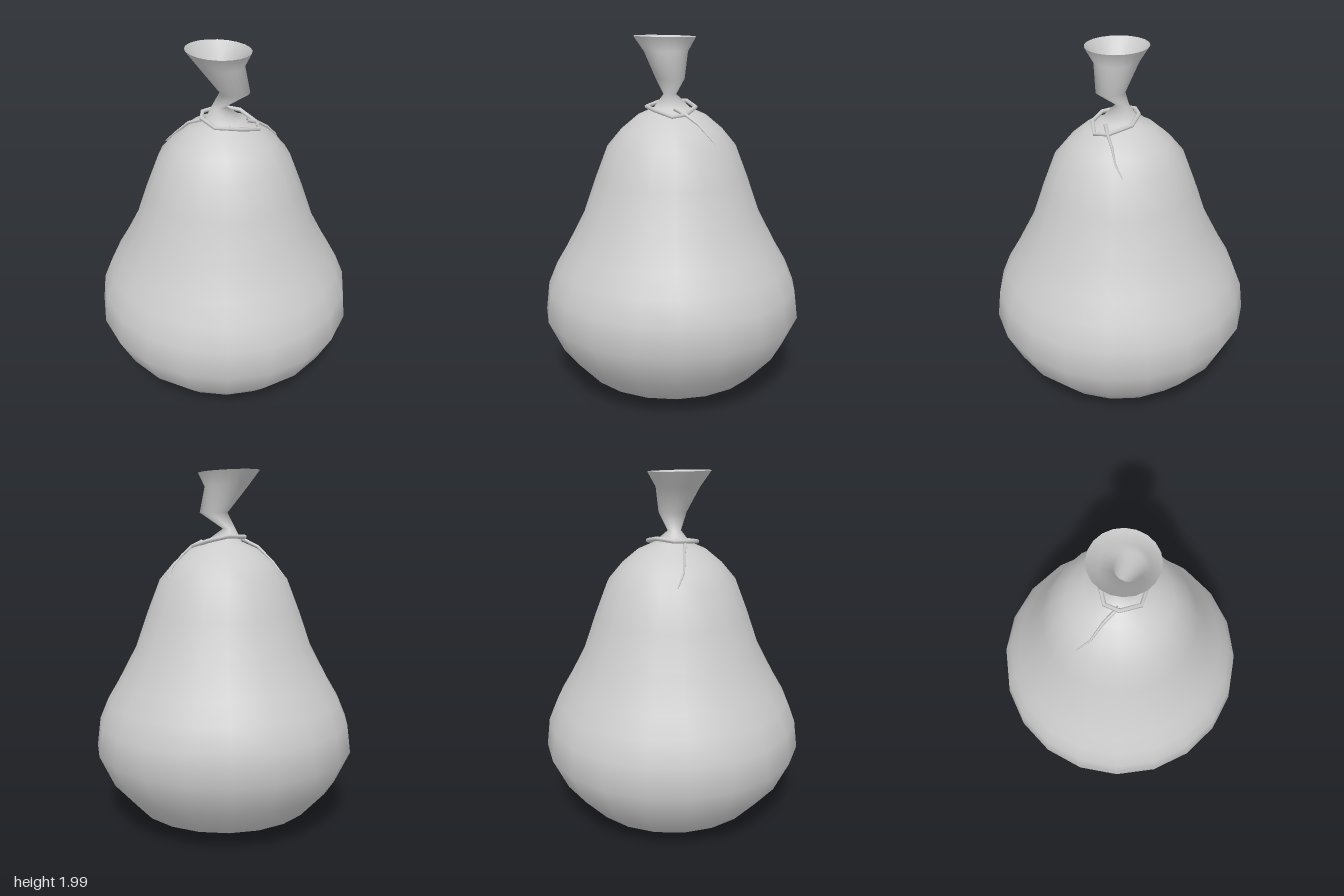
import * as THREE from 'three';
import { mergeVertices } from 'three/addons/utils/BufferGeometryUtils.js';

const material = new THREE.MeshStandardMaterial({ color: 0xcccccc, side: THREE.DoubleSide });

// Sack rings, bottom to top: radius, height, then centre offset x, z and tilt
const RINGS = [
  [0, 0.005], [0.28, 0.033], [0.51, 0.105], [0.65, 0.26], [0.735, 0.44],
  [0.715, 0.6], [0.665, 0.72], [0.6, 0.83], [0.5, 1.02], [0.43, 1.22],
  [0.36, 1.4], [0.28, 1.495], [0.19, 1.57], [0.1, 1.61, 0, 0],
  [0.036, 1.68, -0.03, 0], [0.078, 1.768, 0.055, 0.03],
  [0.12, 1.91, -0.015, 0.028], [0.172, 1.992, -0.03, 0.03, -0.045],
];

function sackGeometry() {
  const profile = RINGS.map(([r, y]) => new THREE.Vector2(r, y));
  const lathe = new THREE.LatheGeometry(profile, 20);
  const p = lathe.attributes.position;
  // Bend the neck by shifting and tilting its rings
  for (let i = 0; i < p.count; i++) {
    const [, , dx = 0, dz = 0, tilt = 0] = RINGS[i % RINGS.length];
    p.setXYZ(i, p.getX(i) + dx, p.getY(i) + tilt * p.getX(i), p.getZ(i) + dz);
  }
  lathe.deleteAttribute('uv');
  lathe.deleteAttribute('normal');
  const geometry = mergeVertices(lathe, 1e-4);
  geometry.computeVertexNormals();
  return geometry;
}

// Cord through straight spans, optionally tapering towards its end
function cord(name, points, radius, closed, taper = 0) {
  const pts = points.map((p) => new THREE.Vector3(...p));
  const curve = new THREE.CatmullRomCurve3(pts, closed, 'catmullrom', 0.12);
  curve.getPointAt = curve.getPoint;
  curve.getTangentAt = curve.getTangent;
  const spans = closed ? pts.length : pts.length - 1;
  const geometry = new THREE.TubeGeometry(curve, spans, radius, 6, closed);
  if (taper) {
    const p = geometry.attributes.position;
    const v = new THREE.Vector3();
    for (let i = 0; i < p.count; i++) {
      const ring = Math.floor(i / 7);
      v.fromBufferAttribute(p, i).lerp(pts[ring], (taper * ring) / spans);
      p.setXYZ(i, v.x, v.y, v.z);
    }
    geometry.computeVertexNormals();
  }
  const mesh = new THREE.Mesh(geometry, material);
  mesh.name = name;
  return mesh;
}

export function createModel() {
  const model = new THREE.Group();
  model.name = 'tiedSack';

  const sack = new THREE.Mesh(sackGeometry(), material);
  sack.name = 'sack';
  model.add(sack);

  // Slack loop around the neck, drooping to the left side
  const string = new THREE.Group();
  string.name = 'string';
  string.add(
    cord('stringLoop', [
      [-0.12, 1.63, 0.04], [-0.05, 1.613, 0.13], [0.08, 1.602, 0.125], [0.18, 1.575, 0.065],
      [0.175, 1.582, -0.01], [0.09, 1.615, -0.105], [-0.02, 1.64, -0.1], [-0.115, 1.635, -0.04],
    ], 0.012, true),
    // Loose ends lying on the shoulders
    cord('leftStringEnd', [
      [0.12, 1.61, 0.03], [0.18, 1.583, -0.01], [0.235, 1.535, -0.06], [0.285, 1.475, -0.1], [0.31, 1.41, -0.15],
    ], 0.011, false, 0.7),
    cord('rightStringEnd', [
      [-0.1, 1.625, 0.03], [-0.19, 1.58, -0.02], [-0.27, 1.5, -0.06], [-0.32, 1.43, -0.12],
    ], 0.011, false, 0.7),
  );
  model.add(string);
  return model;
}
